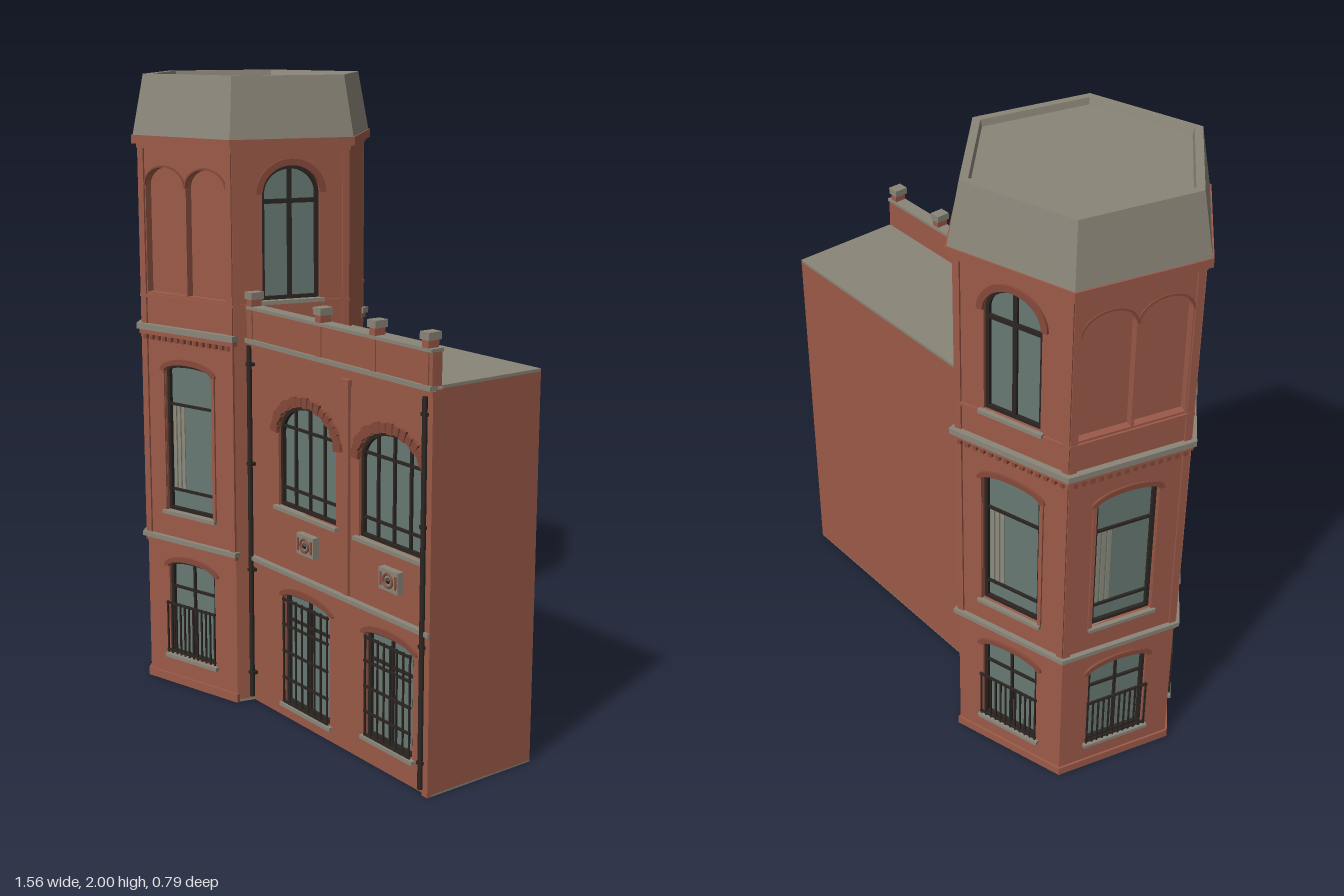
import * as THREE from 'three';

const mat = (name, color) => Object.assign(new THREE.MeshStandardMaterial({ color }), { name });
const brick = mat('brick', 0x9b5a48);
const darkBrick = mat('arch brick', 0x85493a);
const stone = mat('grey stone', 0x8a8578);
const glass = mat('window glass', 0x687973);
const iron = mat('dark iron', 0x2b2521);
const curtain = mat('curtain', 0x8f8b7c);

const CX = -0.385, R = 0.385, AP = R * Math.cos(Math.PI / 6), DEEP = 0.025;

function add(parent, name, geo, material, x = 0, y = 0, z = 0) {
  const m = new THREE.Mesh(geo, material);
  m.name = name;
  m.position.set(x, y, z);
  parent.add(m);
  return m;
}
const box = (parent, name, material, w, h, d, x, y, z) =>
  add(parent, name, new THREE.BoxGeometry(w, h, d), material, x, y, z);

function flat(geo) {
  const g = geo.toNonIndexed();
  g.computeVertexNormals();
  return g;
}
const extrude = (shape, depth) =>
  new THREE.ExtrudeGeometry(shape, { depth, bevelEnabled: false, curveSegments: 14 });

// Opening outline: straight sides, elliptical head. inset shrinks it (negative grows it).
function outline(o, inset = 0, Type = THREE.Shape) {
  const s = new Type(), r = o.w / 2 - inset;
  s.moveTo(o.x - r, o.y0 + inset);
  s.lineTo(o.x + r, o.y0 + inset);
  s.lineTo(o.x + r, o.spring);
  s.absellipse(o.x, o.spring, r, o.top - o.spring - inset, 0, Math.PI, false);
  s.closePath();
  return s;
}
const headY = (o, dx) =>
  o.spring + (o.top - o.spring) * Math.sqrt(Math.max(0, 1 - (2 * dx / o.w) ** 2));

// Brick skin with the openings cut through, front at local z = 0
function skin(parent, x0, x1, y0, y1, openings) {
  const s = new THREE.Shape([[x0, y0], [x1, y0], [x1, y1], [x0, y1]].map(p => new THREE.Vector2(...p)));
  openings.forEach(o => s.holes.push(outline(o, 0, THREE.Path)));
  add(parent, 'wallSkin', extrude(s, DEEP), brick, 0, 0, -DEEP);
}

// Curved hood over an opening
function hood(parent, o, t, proud, material) {
  const s = new THREE.Shape(), r = o.w / 2, h = o.top - o.spring;
  s.absellipse(o.x, o.spring, r + t, h + t, 0, Math.PI, false);
  s.absellipse(o.x, o.spring, r, h, Math.PI, 0, true);
  s.closePath();
  add(parent, 'archHood', extrude(s, proud), material);
}

// Glass, frame, glazing bars and sill; bars are offsets from the centre or heights
function glazing(parent, o, vBars, hBars, barW = 0.008) {
  const g = new THREE.Group();
  g.name = 'window';
  parent.add(g);
  add(g, 'glass', new THREE.ShapeGeometry(outline(o), 14), glass, 0, 0, -DEEP + 0.004);
  const frame = outline(o);
  frame.holes.push(outline(o, 0.011, THREE.Path));
  add(g, 'frame', extrude(frame, 0.012), iron, 0, 0, -DEEP + 0.004);
  for (const dx of vBars) {
    const top = headY(o, Math.abs(dx) + barW / 2);
    box(g, 'verticalBar', iron, barW, top - o.y0, 0.008, o.x + dx, (top + o.y0) / 2, -0.015);
  }
  for (const y of hBars) box(g, 'horizontalBar', iron, o.w, barW, 0.008, o.x, y, -0.015);
  box(g, 'sill', stone, o.w + 0.025, 0.012, 0.025, o.x, o.y0 - 0.006, 0.002);
  return g;
}

// Row of thin iron uprights with rails
function grille(parent, x, y0, y1, w, count, rails) {
  const g = new THREE.Group();
  g.name = 'ironGrille';
  parent.add(g);
  for (let i = 0; i < count; i++)
    box(g, 'upright', iron, 0.005, y1 - y0, 0.005, x - w / 2 + w * i / (count - 1), (y0 + y1) / 2, 0.008);
  for (const y of rails) box(g, 'rail', iron, w + 0.008, 0.007, 0.007, x, y, 0.008);
}

const LOW = { x: 0, w: 0.2, y0: 0.1, spring: 0.405, top: 0.432 };
const MID = { x: 0, w: 0.2, y0: 0.6, spring: 1.065, top: 1.092 };
const HIGH = { x: 0, w: 0.19, y0: 1.315, spring: 1.645, top: 1.73 };
const BLIND = [-0.086, 0.086].map(x => ({ x, w: 0.164, y0: 1.315, spring: 1.655, top: 1.715 }));

function towerFace(parent, deg, lower, upper) {
  const a = THREE.MathUtils.degToRad(deg), f = new THREE.Group();
  f.name = 'towerFace';
  f.position.set(CX + AP * Math.cos(a), 0, AP * Math.sin(a));
  f.rotation.y = Math.PI / 2 - a;
  parent.add(f);
  const openings = [...(lower ? [LOW, MID] : []),
    ...(upper === 'window' ? [HIGH] : upper === 'blind' ? BLIND : [])];
  skin(f, -R / 2, R / 2, 0, 1.8, openings);
  const band = (name, m, y0, y1, d) =>
    box(f, name, m, R + d * 1.154, y1 - y0, d + 0.01, 0, (y0 + y1) / 2, d / 2 - 0.005);
  const pilasters = (y0, y1) => [-1, 1].forEach(s =>
    box(f, 'cornerPilaster', brick, 0.022, y1 - y0, 0.014, s * (R / 2 - 0.01), (y0 + y1) / 2, -0.001));

  if (lower) {
    band('plinth', brick, 0, 0.028, 0.007);
    band('lowerStringCourse', brick, 0.482, 0.495, 0.007);
    band('stringCourse', stone, 0.495, 0.51, 0.016);
    band('cornice', stone, 1.193, 1.212, 0.02);
    band('corniceBed', brick, 1.178, 1.193, 0.012);
    for (let i = 0; i < 14; i++)
      box(f, 'dentil', darkBrick, 0.013, 0.016, 0.016, (i - 6.5) * 0.027, 1.17, 0.003);
    pilasters(0.51, 1.178);
    glazing(f, LOW, [0], [0.335]);
    hood(f, LOW, 0.018, 0.008, darkBrick);
    grille(f, 0, 0.105, 0.285, 0.205, 12, [0.115, 0.28]);
    const g = glazing(f, MID, [], [0.67, 0.955]);
    for (let i = 0; i < 3; i++)
      box(g, 'curtainFold', curtain, 0.012, 0.275, 0.003, -0.078 + i * 0.018, 0.812, -0.019);
    hood(f, MID, 0.018, 0.008, darkBrick);
    for (const s of [-1, 1])
      box(f, 'windowJamb', brick, 0.012, 0.465, 0.006, s * 0.107, 0.832, 0.003);
  }
  if (upper) {
    band('upperLedge', brick, 1.298, 1.308, 0.007);
    pilasters(1.2, 1.78);
  }
  if (upper === 'window') {
    glazing(f, HIGH, [0], [1.62], 0.014);
    hood(f, HIGH, 0.02, 0.008, darkBrick);
  }
  if (upper === 'blind') BLIND.forEach(o => hood(f, o, 0.006, 0.004, darkBrick));
}

function buildTower(root) {
  const t = new THREE.Group();
  t.name = 'tower';
  root.add(t);
  const hex = (name, r, y0, y1, m) => add(t, name,
    flat(new THREE.CylinderGeometry(r, r, y1 - y0, 6, 1, false, Math.PI / 4)), m, CX, (y0 + y1) / 2, 0);
  hex('towerCore', (AP - DEEP) / Math.cos(Math.PI / 6), 0.002, 1.79, brick);
  hex('towerFoot', R, 0, 0.008, stone);
  hex('eavesBed', 0.395, 1.772, 1.785, brick);
  hex('eavesCornice', 0.41, 1.785, 1.812, brick);
  // Sloping roof with a raised rim
  const profile = [[0.405, 1.81], [0.367, 2], [0.34, 2], [0.335, 1.98], [0, 1.98]].map(p => new THREE.Vector2(...p));
  add(t, 'mansardRoof', flat(new THREE.LatheGeometry(profile, 6, Math.PI / 4)), stone, CX);

  towerFace(t, 15, false, 'window');
  towerFace(t, 75, true, 'blind');
  towerFace(t, 135, true, 'window');
  towerFace(t, 195, true, 'blind');
  towerFace(t, 255, true, 'window');
  towerFace(t, 315, false, null);
}

function buildWing(root) {
  const w = new THREE.Group();
  w.name = 'wing';
  root.add(w);
  const x0 = -0.1, x1 = 0.78, len = x1 - x0, mid = (x0 + x1) / 2;
  box(w, 'wingCore', brick, len - 0.01, 1.188, 0.365, mid + 0.005, 0.598, 0.0075);
  box(w, 'wingFoot', stone, len - 0.01, 0.006, 0.385, mid + 0.005, 0.003, 0.018);
  box(w, 'flatRoof', stone, len - 0.01, 0.01, 0.37, mid + 0.005, 1.196, 0.01);

  const f = new THREE.Group();
  f.name = 'wingFront';
  f.position.z = 0.215;
  w.add(f);
  const big = [0.19, 0.59].map(x => ({ x, w: 0.29, y0: 0.695, spring: 0.93, top: 1.03 }));
  const low = [
    { x: 0.19, w: 0.235, y0: 0.05, spring: 0.405, top: 0.425 },
    { x: 0.59, w: 0.215, y0: 0.085, spring: 0.405, top: 0.425 }];
  skin(f, x0, x1, 0, 1.19, [...big, ...low]);

  for (const o of big) {
    glazing(f, o, [-0.073, 0, 0.073], [0.755, 0.95]);
    // Voussoirs around the arch
    const n = 17;
    for (let i = 0; i < n; i++) {
      const a = Math.PI * (i + 0.5) / n, rx = o.w / 2 + 0.014, ry = o.top - o.spring + 0.016;
      const v = box(f, 'voussoir', darkBrick, 0.024, i % 2 ? 0.026 : 0.034, 0.012,
        o.x + rx * Math.cos(a), o.spring + ry * Math.sin(a), 0.004);
      v.rotation.z = Math.atan2(Math.sin(a) / ry, Math.cos(a) / rx) - Math.PI / 2;
    }
    // Carved panel with rosette
    box(f, 'carvedPanel', stone, 0.085, 0.065, 0.022, o.x + 0.018, 0.607, 0.011);
    add(f, 'rosetteRing', new THREE.TorusGeometry(0.02, 0.004, 6, 16), darkBrick, o.x + 0.018, 0.607, 0.023);
    for (const s of [-1, 1])
      box(f, 'panelInlay', darkBrick, 0.008, 0.04, 0.004, o.x + 0.018 + s * 0.033, 0.607, 0.022);
    add(f, 'rosetteBoss', new THREE.SphereGeometry(0.009, 10, 6), iron, o.x + 0.018, 0.607, 0.021);
  }
  for (const o of low) {
    glazing(f, o, [0], [0.33]);
    hood(f, o, 0.02, 0.008, darkBrick);
    const h = o.spring - o.y0;
    grille(f, o.x, o.y0 + 0.005, o.spring, o.w - 0.01, 8,
      [0.02, 0.25, 0.5, 0.75, 0.98].map(k => o.y0 + h * k));
  }

  box(f, 'stringCourse', stone, len, 0.013, 0.022, mid, 0.49, 0.008);
  box(f, 'pilasterStrip', brick, 0.024, 0.64, 0.012, 0.393, 0.82, 0.004);
  box(f, 'pilasterCap', brick, 0.036, 0.02, 0.018, 0.393, 1.145, 0.006);
  box(f, 'endPilaster', brick, 0.026, 1.18, 0.014, 0.767, 0.59, 0.005);
  box(f, 'wingCornice', stone, len, 0.014, 0.028, mid, 1.195, 0.01);
  box(f, 'corniceBed', brick, len, 0.014, 0.016, mid, 1.179, 0.006);

  // Parapet and capped posts
  box(f, 'parapet', brick, len, 0.095, 0.034, mid, 1.247, -0.002);
  box(f, 'parapetCap', stone, len, 0.01, 0.044, mid, 1.299, -0.002);
  for (const x of [-0.08, 0.272, 0.525, 0.753]) {
    box(f, 'parapetPost', brick, 0.026, 0.13, 0.038, x, 1.265, 0);
    box(f, 'postCap', stone, 0.038, 0.022, 0.046, x, 1.337, 0);
  }

  // Drainpipes with brackets
  for (const [x, top] of [[-0.088, 1.18], [0.752, 1.17]]) {
    add(f, 'drainpipe', new THREE.CylinderGeometry(0.008, 0.008, top - 0.02, 10), iron, x, top / 2 + 0.01, 0.016);
    for (const y of [0.1, 0.45, 0.8, 1.12]) box(f, 'pipeBracket', iron, 0.022, 0.01, 0.022, x, y, 0.012);
  }
}

export function createModel() {
  const root = new THREE.Group();
  root.name = 'corner building';
  buildTower(root);
  buildWing(root);
  return root;
}
